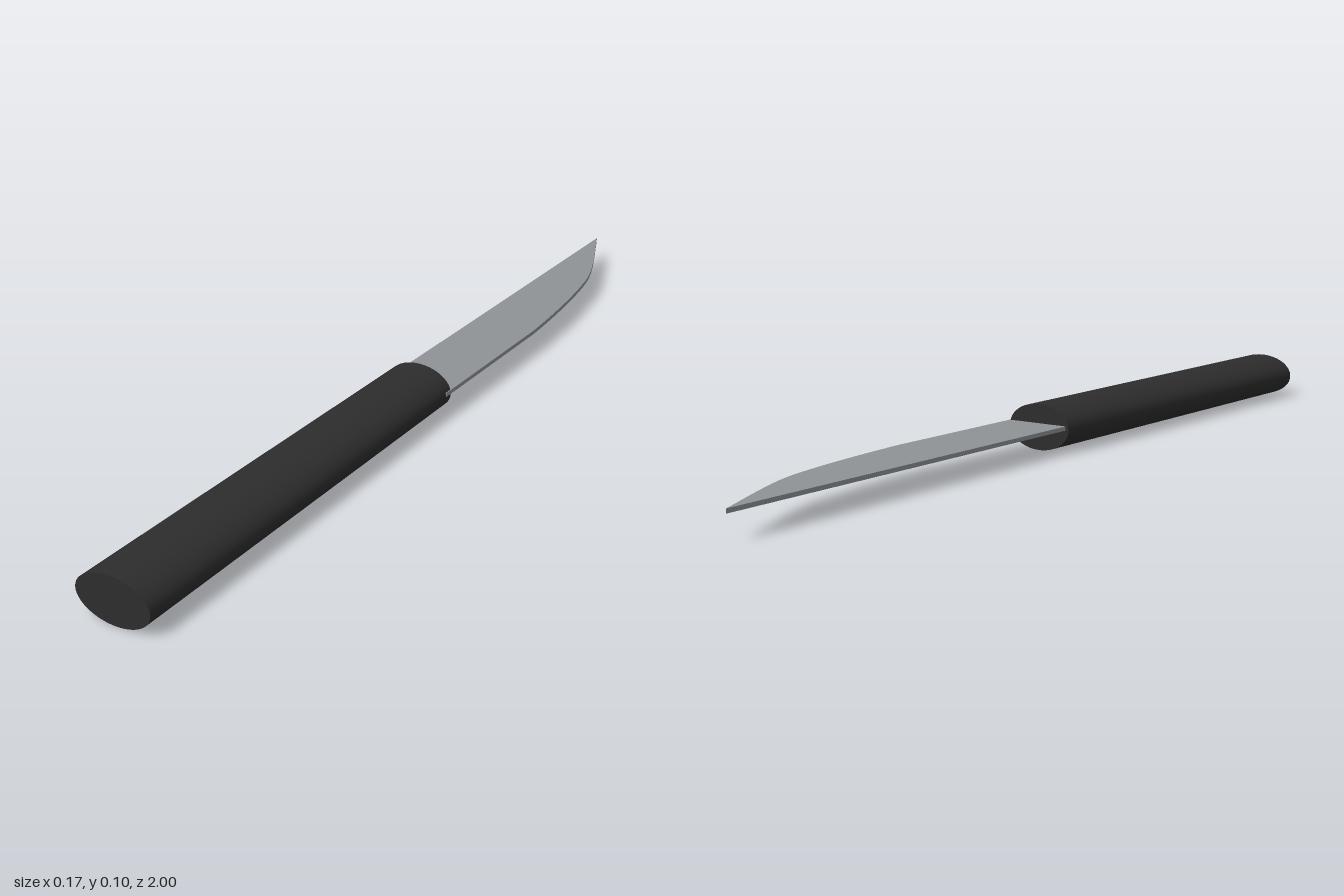
import * as THREE from 'three';

export function createModel() {
  const model = new THREE.Group();
  const black = new THREE.MeshStandardMaterial({ color: 0x2d2d2d });
  black.name = 'blackHandle';
  const steel = new THREE.MeshStandardMaterial({ color: 0x8f9396 });
  steel.name = 'greySteel';

  // Handle: oval cylinder, narrowing slightly in width towards the blade
  const handleGeo = new THREE.CylinderGeometry(1, 1, 1.01, 64);
  handleGeo.rotateX(Math.PI / 2);
  handleGeo.scale(0.085, 0.051, 1);
  handleGeo.translate(0, 0.051, 0.495);
  const pos = handleGeo.attributes.position;
  for (let i = 0; i < pos.count; i++) {
    const t = (pos.getZ(i) + 0.01) / 1.01;
    pos.setX(i, pos.getX(i) * THREE.MathUtils.lerp(0.92, 1, t));
  }
  const handle = new THREE.Mesh(handleGeo, black);
  handle.name = 'handle';
  model.add(handle);

  // Blade: straight spine on one side, curved cutting edge on the other
  const outline = new THREE.Shape();
  outline.moveTo(-0.071, -0.01);
  outline.lineTo(0.079, -0.01);
  outline.lineTo(0.081, 0.38);
  outline.bezierCurveTo(0.075, 0.52, 0.06, 0.65, 0.043, 0.73);
  outline.bezierCurveTo(0.028, 0.8, -0.02, 0.9, -0.063, 1);
  outline.closePath();
  const bladeGeo = new THREE.ExtrudeGeometry(outline, {
    depth: 0.009, bevelEnabled: false, curveSegments: 12,
  });
  bladeGeo.rotateX(-Math.PI / 2);
  bladeGeo.translate(0, 0.0505, 0);
  const blade = new THREE.Mesh(bladeGeo, steel);
  blade.name = 'blade';
  model.add(blade);

  return model;
}
